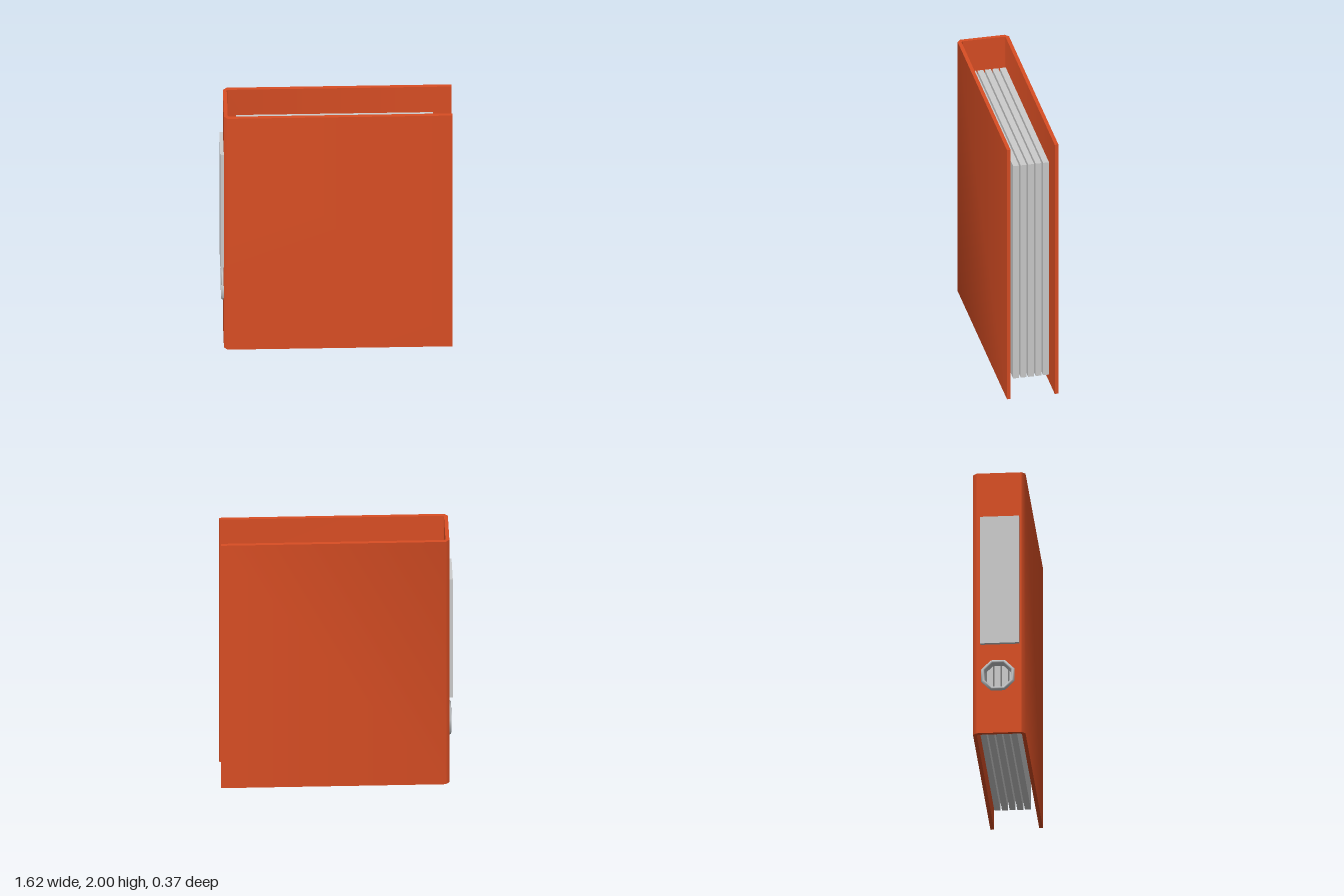
import * as THREE from 'three';
import { toCreasedNormals } from 'three/addons/utils/BufferGeometryUtils.js';

export function createModel() {
  const group = new THREE.Group();
  const mat = (name, color) => {
    const m = new THREE.MeshStandardMaterial({ color });
    m.name = name;
    return m;
  };
  const orange = mat('orange board', 0xd94e24);
  const paper = mat('light grey paper', 0xcccccc);
  const metal = mat('grey metal', 0xc6c8ca);

  const add = (name, geometry, material) => {
    const mesh = new THREE.Mesh(geometry, material);
    mesh.name = name;
    group.add(mesh);
    return mesh;
  };
  const box = (name, material, x0, x1, y0, y1, z0, z1) =>
    add(name, new THREE.BoxGeometry(x1 - x0, y1 - y0, z1 - z0), material)
      .position.set((x0 + x1) / 2, (y0 + y1) / 2, (z0 + z1) / 2);

  const ringY = 0.442, ringZ = -0.008;
  const xOut = -0.787, xIn = -0.76, xEnd = 0.81;
  const zOut = 0.184, zIn = 0.158;

  // Front and back covers, each with its bevelled corner at the spine
  const coverProfile = [
    [xEnd, zIn], [xEnd, zOut], [xIn, zOut], [xOut, zIn], [xIn, zIn - 0.01], [xIn + 0.01, zIn],
  ];
  for (const [name, side] of [['frontCover', 1], ['backCover', -1]]) {
    const shape = new THREE.Shape(coverProfile.map(([x, z]) => new THREE.Vector2(x, -z * side)));
    const geo = new THREE.ExtrudeGeometry(shape, { depth: 2, bevelEnabled: false });
    geo.rotateX(-Math.PI / 2);
    add(name, toCreasedNormals(geo, 0.9), orange);
  }

  // Spine with the finger hole cut through it
  const spine = new THREE.Shape([[-zIn, 0], [zIn, 0], [zIn, 2], [-zIn, 2]]
    .map(([z, y]) => new THREE.Vector2(z, y)));
  spine.holes.push(new THREE.Path(Array.from({ length: 8 }, (_, i) => {
    const a = (i + 0.5) * Math.PI / 4;
    return new THREE.Vector2(ringZ + 0.112 * Math.cos(a), ringY + 0.112 * Math.sin(a));
  })));
  const spineGeo = new THREE.ExtrudeGeometry(spine, { depth: xIn - xOut, bevelEnabled: false });
  spineGeo.rotateY(-Math.PI / 2).translate(xIn, 0, 0);
  add('spine', spineGeo, orange);

  // Eight-sided metal ring lining the finger hole
  const ringProfile = [
    [0.1, -0.03], [0.108, -0.035], [0.118, -0.033], [0.127, -0.017], [0.127, 0.017],
    [0.118, 0.033], [0.108, 0.035], [0.1, 0.03], [0.1, -0.03],
  ].map(([r, h]) => new THREE.Vector2(r, h));
  const ring = new THREE.LatheGeometry(ringProfile, 8, Math.PI / 8);
  ring.rotateZ(Math.PI / 2);
  add('fingerRing', ring, metal).position.set(-0.769, ringY, ringZ);

  // Label plate on the outside of the spine
  box('spineLabel', paper, -0.812, xOut, 0.68, 1.655, -0.13, 0.142);

  // Five paper bundles standing inside
  for (let i = 0; i < 5; i++) {
    const z = -0.125 + i * 0.0535;
    box('paperBundle' + (i + 1), paper, -0.695, 0.68, 0.085, 1.79, z - 0.021, z + 0.021);
  }
  return group;
}
